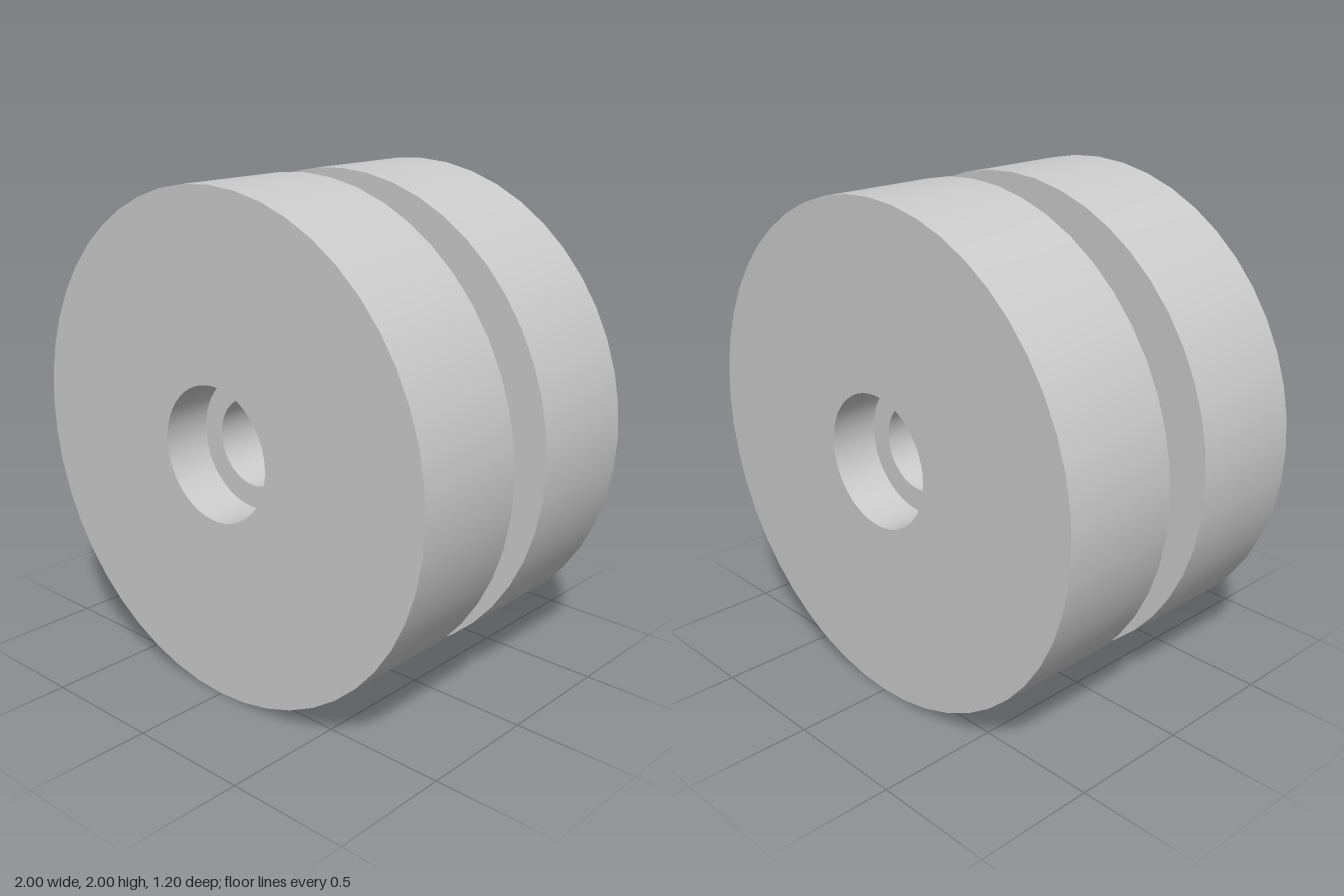
import * as THREE from 'three';
import { toCreasedNormals } from 'three/addons/utils/BufferGeometryUtils.js';

const SEGMENTS = 48;

export function createModel() {
  const model = new THREE.Group();
  model.name = 'groovedWheel';

  const smooth = new THREE.MeshStandardMaterial({ color: 0xcccccc });
  const faceted = new THREE.MeshStandardMaterial({ color: 0xcccccc, flatShading: true });

  // Half profile [radius, z]: groove wall, rim, outer face, counterbore, shoulder, bore
  const profile = [
    [0.667, 0.1], [1, 0.1], [1, 0.6], [0.267, 0.6],
    [0.267, 0.4], [0.175, 0.4], [0.175, 0],
  ].map(([r, z]) => new THREE.Vector2(r, z));
  const discGeometry = toCreasedNormals(
    new THREE.LatheGeometry(profile, SEGMENTS).rotateX(Math.PI / 2), 0.5);

  // Matching front and back discs
  for (const [name, turn] of [['frontDisc', 0], ['backDisc', Math.PI]]) {
    const disc = new THREE.Mesh(discGeometry, smooth);
    disc.name = name;
    disc.position.y = 1;
    disc.rotation.y = turn;
    model.add(disc);
  }

  // Faceted floor of the groove between the discs
  const coreGeometry = new THREE.CylinderGeometry(0.667, 0.667, 0.2, SEGMENTS, 1, true);
  const core = new THREE.Mesh(coreGeometry.rotateX(Math.PI / 2), faceted);
  core.name = 'grooveCore';
  core.position.y = 1;
  model.add(core);

  return model;
}
